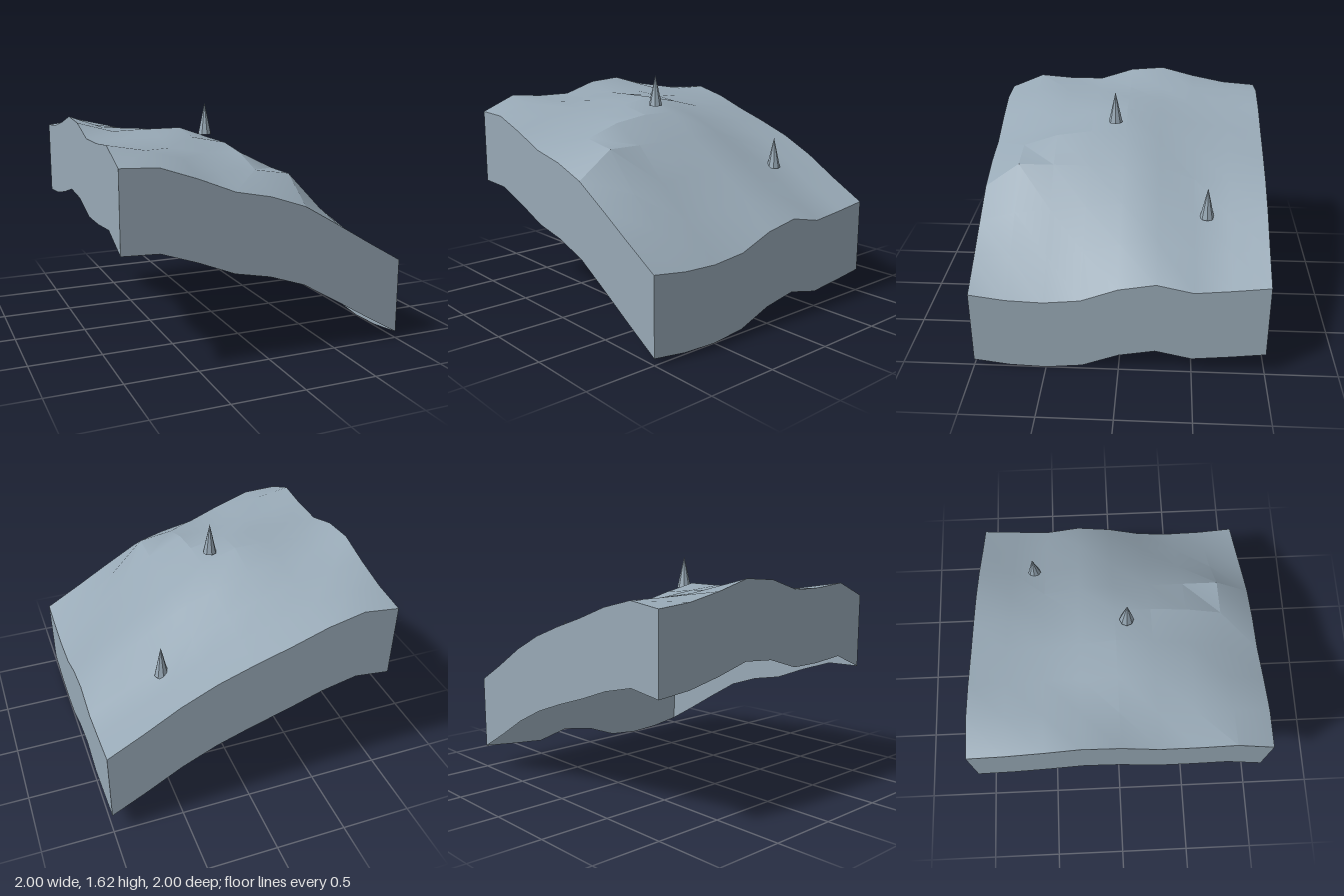
import * as THREE from 'three';
import { toCreasedNormals } from 'three/addons/utils/BufferGeometryUtils.js';

const CELLS = 8;
const DEPTH = 0.53;

// Ground heights: rows run back to front, columns from -x to +x
const HEIGHTS = [
  [1.40, 1.43, 1.37, 1.28, 1.20, 1.11, 0.99, 0.84, 0.70],
  [1.42, 1.43, 1.38, 1.31, 1.22, 1.10, 0.96, 0.81, 0.67],
  [1.47, 1.44, 1.40, 1.34, 1.25, 1.11, 0.95, 0.80, 0.645],
  [1.535, 1.445, 1.43, 1.40, 1.30, 1.20, 1.04, 0.88, 0.70],
  [1.515, 1.445, 1.45, 1.45, 1.36, 1.20, 1.03, 0.85, 0.655],
  [1.435, 1.42, 1.42, 1.41, 1.36, 1.20, 1.00, 0.79, 0.56],
  [1.435, 1.41, 1.38, 1.335, 1.325, 1.20, 0.97, 0.75, 0.535],
  [1.455, 1.41, 1.34, 1.24, 1.24, 1.20, 0.94, 0.74, 0.545],
  [1.35, 1.34, 1.255, 1.155, 1.105, 1.02, 0.875, 0.725, 0.58],
];

// Hilly top surface
function groundGeometry() {
  const geo = new THREE.PlaneGeometry(2, 2, CELLS, CELLS).rotateX(-Math.PI / 2);
  const pos = geo.attributes.position;
  HEIGHTS.flat().forEach((h, i) => pos.setY(i, h));
  geo.deleteAttribute('uv');
  geo.deleteAttribute('normal');
  return toCreasedNormals(geo, 0.4);
}

// Vertical skirt below one edge; cell(i) gives [row, column] along it
function wallGeometry(cell) {
  const points = [];
  const index = [];
  for (let i = 0; i <= CELLS; i++) {
    const [row, col] = cell(i);
    const x = (col / CELLS) * 2 - 1;
    const z = (row / CELLS) * 2 - 1;
    const y = HEIGHTS[row][col];
    points.push(x, y - DEPTH, z, x, y, z);
    if (i < CELLS) {
      const a = i * 2;
      index.push(a, a + 2, a + 3, a, a + 3, a + 1);
    }
  }
  const geo = new THREE.BufferGeometry();
  geo.setAttribute('position', new THREE.Float32BufferAttribute(points, 3));
  geo.setIndex(index);
  geo.computeVertexNormals();
  return geo;
}

export function createModel() {
  const group = new THREE.Group();
  const stone = new THREE.MeshStandardMaterial({ color: 0x98a9b6 });
  stone.name = 'blueGreyStone';
  stone.side = THREE.DoubleSide;

  const add = (name, geo) => {
    const mesh = new THREE.Mesh(geo, stone);
    mesh.name = name;
    group.add(mesh);
    return mesh;
  };

  add('ground', groundGeometry());

  // Four side walls, open underneath
  const walls = {
    frontWall: (i) => [CELLS, i],
    leftWall: (i) => [CELLS - i, CELLS],
    backWall: (i) => [0, CELLS - i],
    rightWall: (i) => [i, 0],
  };
  for (const [name, cell] of Object.entries(walls)) add(name, wallGeometry(cell));

  // Faceted spikes standing on the slope
  const spike = toCreasedNormals(new THREE.ConeGeometry(0.05, 0.225, 8).translate(0, 0.1125, 0), 0.1);
  add('upperSpike', spike).position.set(-0.085, 1.405, 0.08);
  add('lowerSpike', spike).position.set(0.5, 0.94, -0.585);

  return group;
}
